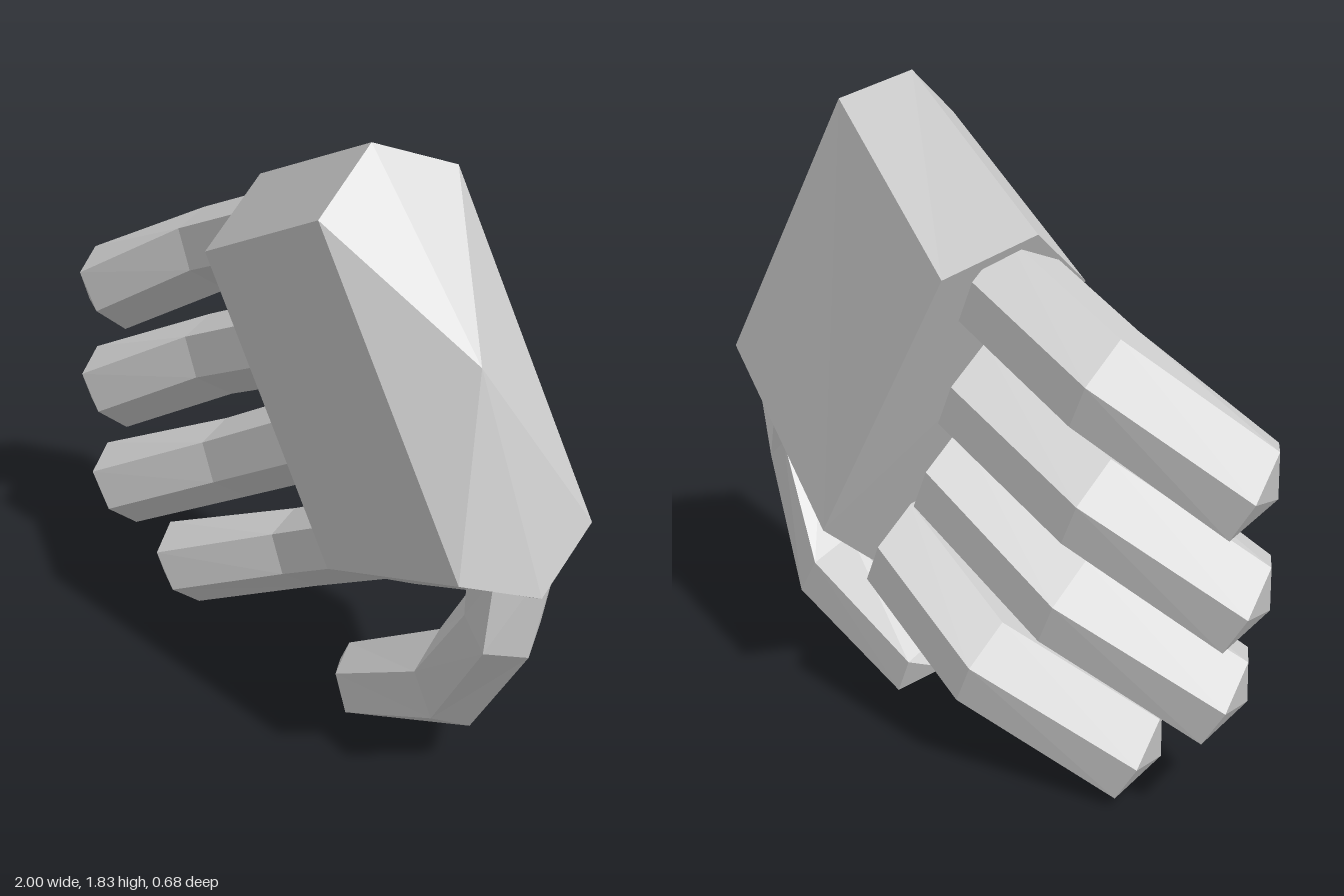
import * as THREE from 'three';

// Joins hexagonal rings into a closed faceted solid with a pointed or flat cap at each end.
// Rings run counter-clockwise when seen from the last ring's end.
function loft(rings, startTip, endTip) {
  const pos = [];
  const tri = (...pts) => pts.forEach((p) => pos.push(...p));
  const last = rings[rings.length - 1];
  const n = last.length;
  for (let i = 0; i < n; i++) {
    const j = (i + 1) % n;
    for (let k = 0; k + 1 < rings.length; k++) {
      const a = rings[k], b = rings[k + 1];
      tri(a[i], a[j], b[j]);
      tri(a[i], b[j], b[i]);
    }
    tri(startTip, rings[0][j], rings[0][i]);
    tri(endTip, last[i], last[j]);
  }
  const geo = new THREE.BufferGeometry();
  geo.setAttribute('position', new THREE.Float32BufferAttribute(pos, 3));
  geo.computeVertexNormals();
  return geo;
}

const add = (a, b, s = 1) => a.map((v, i) => v + s * b[i]);
const middle = (ring) => ring.reduce((sum, p) => add(sum, p, 1 / ring.length), [0, 0, 0]);

// Hexagon from its centre and three spokes, mirrored through the centre
const hex = (c, spokes) => [...spokes.map((s) => add(c, s)), ...spokes.map((s) => add(c, s, -1))];

export function createModel() {
  const group = new THREE.Group();
  const skin = new THREE.MeshStandardMaterial({ color: 0xcccccc, flatShading: true });
  skin.name = 'pale grey';
  const part = (name, geo) => {
    const mesh = new THREE.Mesh(geo, skin);
    mesh.name = name;
    group.add(mesh);
  };

  // Palm: finger end to wrist end, with a raised point at the wrist
  const knuckleEnd = [
    [-0.25, 1.53, -0.05], [-0.23, 1.36, 0.16], [0.21, 0.53, 0.09],
    [0.33, 0.45, -0.13], [0.30, 0.62, -0.34], [-0.13, 1.43, -0.28],
  ];
  const wristEnd = [
    [0.44, 1.845, 0.16], [0.46, 1.70, 0.34], [0.90, 0.885, 0.27],
    [0.995, 0.82, 0.08], [0.98, 0.96, -0.10], [0.54, 1.775, -0.03],
  ];
  part('palm', loft([knuckleEnd, wristEnd], middle(knuckleEnd), [0.83, 1.40, 0.155]));

  // Fingers: centres of base, knuckle and tip
  const innerSpokes = [[0, 0.095, 0.13], [-0.05, 0.115, 0], [-0.05, 0.02, -0.13]];
  const tipSpokes = [[0.02, 0.09, 0.12], [-0.065, 0.12, 0.005], [-0.085, 0.02, -0.11]];
  const fingers = {
    topFinger: [[-0.12, 1.40, -0.08], [-0.52, 1.215, -0.09], [-0.915, 0.99, 0.025]],
    upperMiddleFinger: [[-0.05, 1.10, -0.09], [-0.49, 0.885, -0.08], [-0.89, 0.665, 0.055]],
    lowerMiddleFinger: [[0.04, 0.835, -0.10], [-0.405, 0.57, -0.07], [-0.815, 0.36, 0.085]],
    bottomFinger: [[0.22, 0.56, -0.12], [-0.17, 0.33, -0.145], [-0.595, 0.135, 0.005]],
  };
  for (const [name, [base, knuckle, tip]] of Object.entries(fingers)) {
    const rings = [hex(base, innerSpokes), hex(knuckle, innerSpokes), hex(tip, tipSpokes)];
    part(name, loft(rings, base, add(tip, [-0.03, -0.03, 0.06])));
  }

  // Thumb: root inside the palm, two bends and a pointed tip
  const root = [0.87, 0.88, 0.05];
  part('thumb', loft([
    hex(root, [[0.085, -0.03, 0], [0.05, 0, 0.12], [-0.04, 0.03, 0.12]]),
    hex([0.84, 0.67, 0.045], [[0.085, -0.08, -0.01], [0.06, -0.02, 0.13], [-0.02, 0.05, 0.12]]),
    hex([0.595, 0.315, -0.04], [[0.065, -0.125, 0], [0.035, -0.06, 0.12], [-0.035, 0.055, 0.12]]),
    hex([0.225, 0.115, -0.03], [[0.055, -0.095, 0], [0.045, -0.05, 0.1], [0, 0.06, 0.1]]),
  ], root, [0.13, 0.13, -0.03]));

  return group;
}
